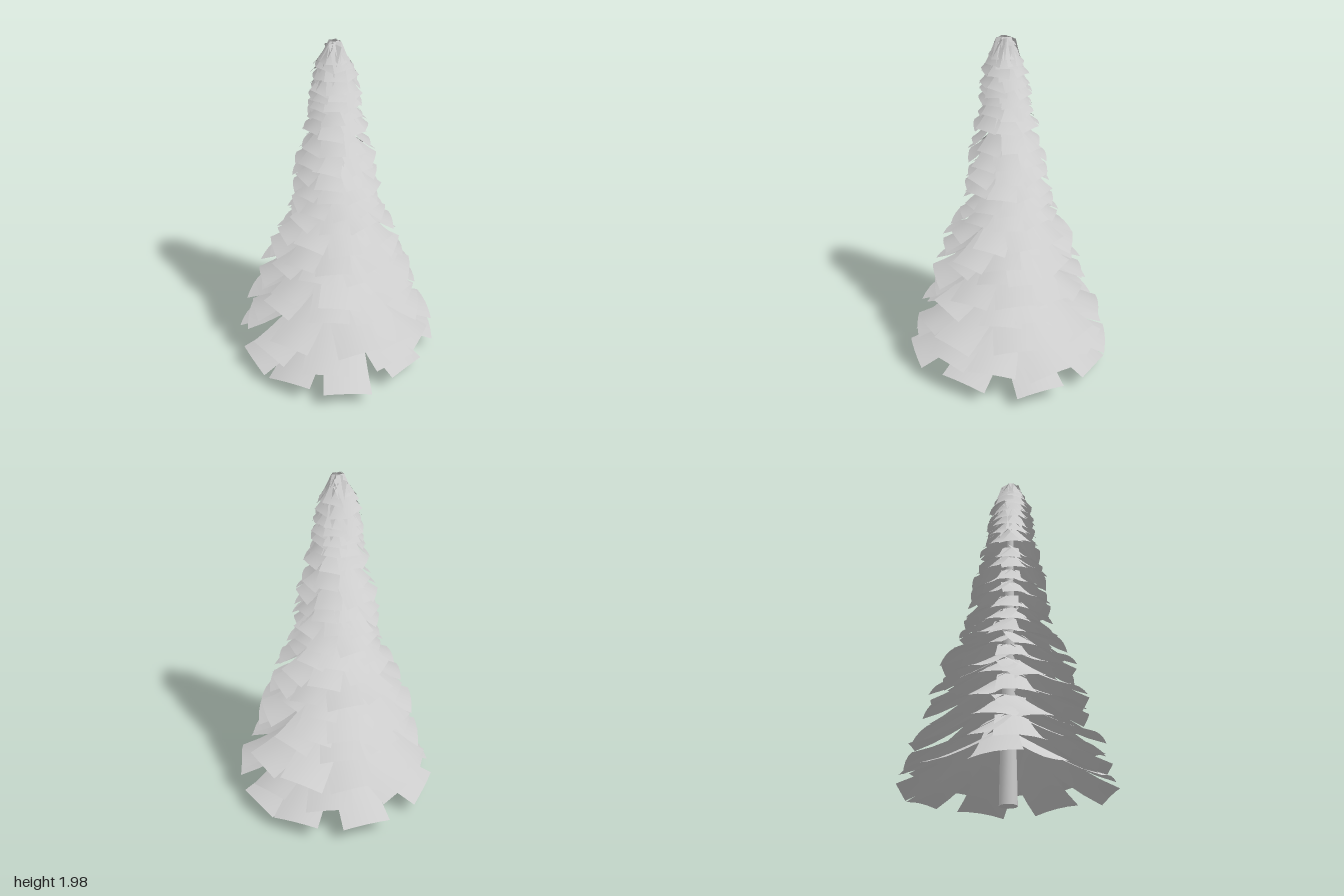
import * as THREE from 'three';

// small seeded generator
let seed = 7;
const rand = (a, b) => {
  seed = (seed * 16807) % 2147483647;
  return a + (b - a) * (seed / 2147483647);
};

// tiers from bottom to top: [tip height, tip radius, plate count]
const TIERS = [
  [0.10, 0.58, 9], [0.21, 0.56, 9], [0.33, 0.52, 9], [0.48, 0.45, 9],
  [0.58, 0.455, 9], [0.69, 0.37, 9], [0.77, 0.37, 9], [0.87, 0.32, 9],
  [0.97, 0.27, 9], [1.05, 0.25, 9], [1.14, 0.245, 9], [1.22, 0.23, 8],
  [1.31, 0.22, 8], [1.39, 0.185, 8], [1.50, 0.175, 8], [1.57, 0.15, 8],
  [1.63, 0.14, 8], [1.68, 0.14, 8], [1.73, 0.13, 8], [1.79, 0.12, 8],
  [1.84, 0.1, 7],
];

// a drooping, slightly arched trapezoid that points along +z
function bough(radius, rise, innerR, innerW, tipW) {
  const g = new THREE.PlaneGeometry(1, 1, 4, 5);
  const p = g.attributes.position;
  for (let i = 0; i < p.count; i++) {
    const u = p.getX(i) * 2;
    const t = 0.5 - p.getY(i);
    const x = u * THREE.MathUtils.lerp(innerW, tipW, t) / 2;
    p.setXYZ(i, x,
      rise * Math.pow(1 - t, 1.2) - 0.1 * Math.abs(x * u),
      innerR + (radius - innerR) * t - t * x * x / (4 * radius));
  }
  g.computeVertexNormals();
  return g;
}

export function createModel() {
  const tree = new THREE.Group();
  tree.name = 'conifer';
  const bark = new THREE.MeshStandardMaterial({ color: 0xcccccc });
  const needles = new THREE.MeshStandardMaterial({ color: 0xcccccc, side: THREE.DoubleSide });

  // trunk, tapering and leaning slightly towards the top
  const lean = (y) => -0.025 * (y / 2) ** 2;
  const trunkGeo = new THREE.CylinderGeometry(0.012, 0.05, 1.9, 12, 8);
  trunkGeo.translate(0, 0.95, 0);
  const p = trunkGeo.attributes.position;
  for (let i = 0; i < p.count; i++) p.setX(i, p.getX(i) + lean(p.getY(i)));
  trunkGeo.computeVertexNormals();
  const trunk = new THREE.Mesh(trunkGeo, bark);
  trunk.name = 'trunk';
  tree.add(trunk);

  // overlapping rings of boughs, steeper towards the top
  TIERS.forEach(([y, r, count], k) => {
    const tier = new THREE.Group();
    tier.name = `boughTier${k + 1}`;
    tier.position.set(lean(y), y, 0);
    const rise = r * (0.53 + 0.75 * (y / 1.9) ** 3);
    const tipW = 0.08 + 0.34 * r;
    const start = k * 2.4;
    for (let i = 0; i < count; i++) {
      const geo = bough(r * rand(0.93, 1.03), rise * rand(0.92, 1.08), 0.02, tipW * 0.65, tipW);
      const plate = new THREE.Mesh(geo, needles);
      plate.name = 'bough';
      plate.rotation.order = 'YXZ';
      plate.rotation.y = start + (i / count) * Math.PI * 2 + rand(-0.14, 0.14);
      plate.rotation.z = rand(-0.16, 0.16);
      plate.position.y = rand(-0.01, 0.015);
      tier.add(plate);
    }
    tree.add(tier);
  });

  // crown of small steep plates around the tip
  const crown = new THREE.Group();
  crown.name = 'crown';
  crown.position.set(-0.025, 1.88, 0);
  for (let i = 0; i < 6; i++) {
    const plate = new THREE.Mesh(bough(0.08, 0.1, 0.015, 0.06, 0.08), needles);
    plate.name = 'crownPlate';
    plate.rotation.order = 'YXZ';
    plate.rotation.y = (i / 6) * Math.PI * 2 + rand(-0.2, 0.2);
    plate.rotation.z = rand(-0.25, 0.25);
    crown.add(plate);
  }
  tree.add(crown);
  return tree;
}
